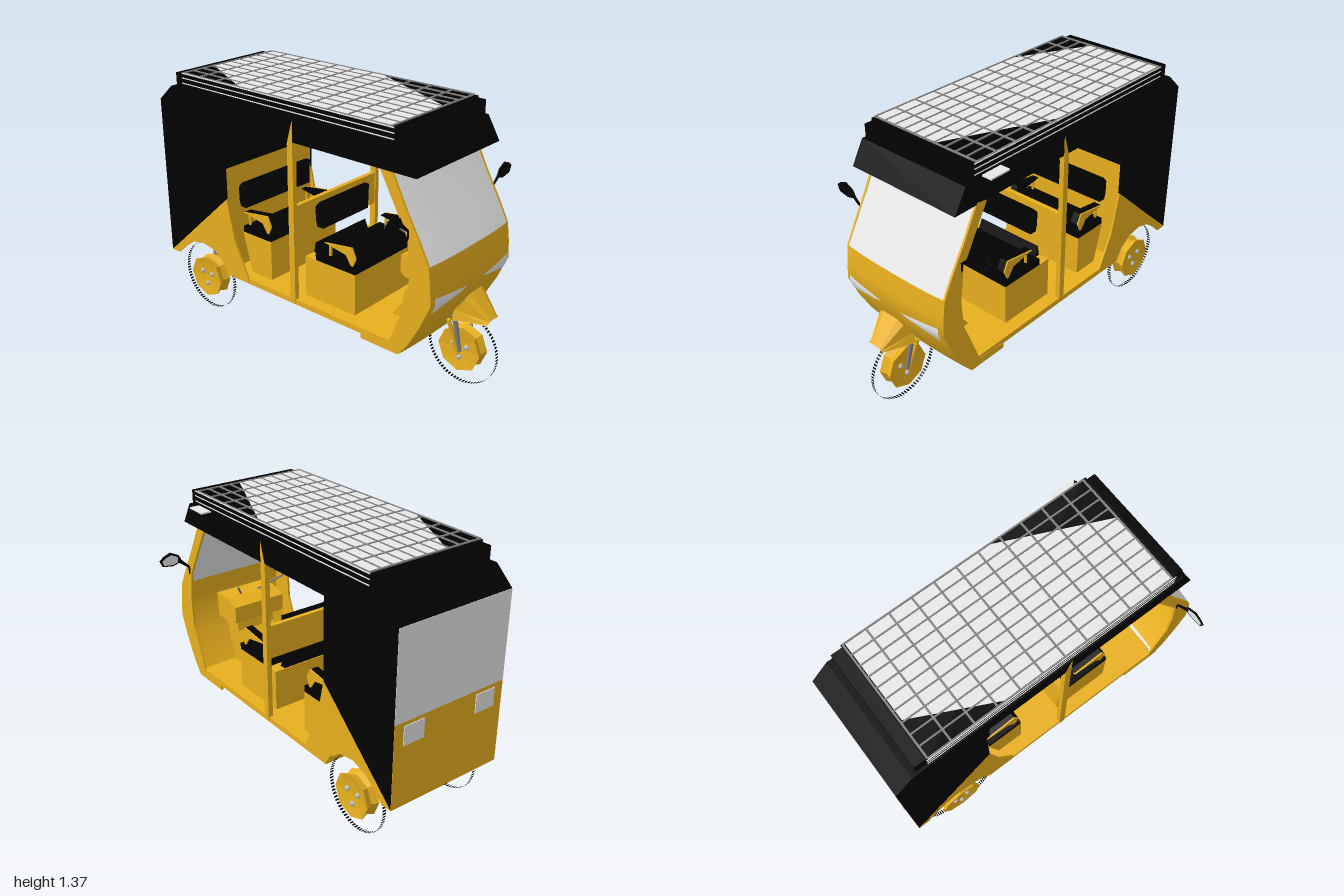
import * as THREE from 'three';
import { ParametricGeometry } from 'three/addons/geometries/ParametricGeometry.js';

const mat = (name, color) => new THREE.MeshStandardMaterial({ name, color, side: THREE.DoubleSide });

export function createModel() {
  const root = new THREE.Group();
  const yellow = mat('yellow paint', 0xf4b920);
  const black = mat('black vinyl', 0x020202);
  const pale = mat('pale glass and cells', 0xe8e8e8);
  const bright = mat('bright metal', 0xbcbcbc);
  const grey = mat('grey metal', 0x808080);

  const add = (name, geo, m, parent = root) => {
    const mesh = new THREE.Mesh(geo, m);
    mesh.name = name;
    parent.add(mesh);
    return mesh;
  };
  const flat = (geo) => {
    const g = geo.index ? geo.toNonIndexed() : geo;
    g.computeVertexNormals();
    return g;
  };
  const outline = (pts) => new THREE.Shape(pts.map(p => new THREE.Vector2(...p)));
  // Box given by its limits on each axis
  const box = (name, x0, x1, y0, y1, z0, z1, m) => {
    const mesh = add(name, new THREE.BoxGeometry(x1 - x0, y1 - y0, z1 - z0), m);
    mesh.position.set((x0 + x1) / 2, (y0 + y1) / 2, (z0 + z1) / 2);
  };
  // Side-profile outline [x, y] extruded from z0 to z1
  const plate = (name, pts, z0, z1, m) => {
    const geo = new THREE.ExtrudeGeometry(outline(pts), { depth: z1 - z0, bevelEnabled: false });
    add(name, geo, m).position.z = z0;
  };
  const sides = (name, pts, z0, z1, m) => {
    plate(name + 'Right', pts, z0, z1, m);
    plate(name + 'Left', pts, -z1, -z0, m);
  };
  const surf = (name, nu, nv, fn, m) => {
    const g = new ParametricGeometry((u, v, t) => t.set(...fn(u, v)), nu, nv);
    g.computeVertexNormals();
    return add(name, g, m);
  };
  const rod = (name, a, b, r0, r1, m, n = 8) => {
    const p = new THREE.Vector3(...a), q = new THREE.Vector3(...b);
    const mesh = add(name, new THREE.CylinderGeometry(r1, r0, p.distanceTo(q), n), m);
    mesh.position.copy(p).add(q).multiplyScalar(0.5);
    mesh.quaternion.setFromUnitVectors(new THREE.Vector3(0, 1, 0), q.sub(p).normalize());
  };

  // Canopy and rear body sides
  sides('canopySide', [[-.99, .29], [-.99, 1.19], [-.89, 1.28], [.66, 1.28], [.73, 1.16], [-.5, 1.16], [-.5, .73]], .325, .335, black);
  sides('rearFender', [[-.99, .285], [-.5, .73], [-.45, .5], [-.36, .31], [-.36, .28], [-.52, .28], [-.56, .35], [-.63, .395],
    [-.72, .41], [-.8, .39], [-.87, .34], [-.93, .285]], .325, .335, yellow);
  // Roof skin, one flat strip per pair of profile points
  const roof = [[-.99, 1.19], [-.89, 1.28], [.66, 1.28], [.73, 1.16]];
  for (let i = 0; i < 3; i++) {
    const [a, b] = [roof[i], roof[i + 1]];
    surf('roofPanel', 1, 1, (u, v) => [a[0] + (b[0] - a[0]) * v, a[1] + (b[1] - a[1]) * v, (u - .5) * .668], black);
  }
  // Rear end
  box('rearPanel', -.992, -.985, .285, .73, -.334, .334, yellow);
  box('rearWindow', -.992, -.985, .73, 1.19, -.334, .334, pale);
  for (const s of [-1, 1]) box('rearLamp', -.996, -.991, .61, .71, s * .22 - .06, s * .22 + .06, pale);
  box('partitionLower', -.512, -.502, .31, .9, -.325, .325, yellow);
  box('partitionUpper', -.512, -.502, .9, 1.27, -.325, .325, black);
  box('rearShelf', -.985, -.512, .42, .43, -.325, .325, black);

  // Floor
  box('floor', -.52, .62, .275, .305, -.333, .333, yellow);
  plate('underTray', [[-.3, .25], [.43, .262], [.64, .25], [.64, .28], [-.3, .28]], -.3, .3, yellow);

  // Slightly bowed front: windscreen above, cowl below
  const bow = z => .014 * Math.pow(Math.abs(z) / .333, 3);
  const along = (pts, t) => {
    const f = t * (pts.length - 1), i = Math.min(pts.length - 2, Math.floor(f)), k = f - i;
    return pts[i].map((c, j) => c + (pts[i + 1][j] - c) * k);
  };
  const front = (name, pts, half, m) => surf(name, 12, pts.length - 1, (u, v) => {
    const [x, y] = along(pts, v), z = (1 - 2 * u) * half;
    return [x - bow(z), y, z];
  }, m);
  front('windscreen', [[.6, 1.17], [.69, 1.0], [.765, .87], [.825, .76]], .325, pale);
  front('cowl', [[.825, .76], [.84, .66], [.845, .57], [.79, .44], [.725, .32], [.67, .25]], .334, yellow);
  sides('frontPillar', [[.53, 1.16], [.592, 1.17], [.68, 1.0], [.755, .87], [.812, .76], [.826, .66], [.831, .57], [.776, .44], [.711, .32],
    [.656, .25], [.43, .25], [.43, .28], [.6, .29], [.64, .4], [.7, .55], [.71, .7], [.69, .87]], .323, .335, yellow);
  // Wedge headlamps lying on the cowl
  const cowlX = y => y > .57 ? .845 - (y - .57) * .08 : .845 - (.57 - y) * .43;
  for (const s of [-1, 1]) surf('headlamp', 6, 4, (u, v) => {
    const z = .07 + u * .24, y = .58 + u * (v * .085 - .06);
    return [cowlX(y) - bow(z) + .007, y, s * z];
  }, pale);

  // Front mudguard snout, a tapering folded hood
  const hood = [[.81, .4, -.12], [.81, .45, -.105], [.85, .51, -.083], [.855, .53, -.05],
    [.855, .53, .05], [.85, .51, .083], [.81, .45, .105], [.81, .4, .12]];
  const snout = surf('frontMudguard', 7, 1, (u, v) => {
    const [x, y, z] = along(hood, u);
    return [x + (.965 - x) * v, y + (.395 + (y - .4) * .12 - y) * v, z * (1 - .58 * v)];
  }, yellow);
  snout.geometry = flat(snout.geometry);

  // Door posts
  sides('doorPost', [[-.04, .28], [-.04, 1.15], [-.005, 1.27], [-.005, .28]], .31, .337, yellow);
  box('crossPanel', -.035, -.01, .64, .82, -.32, .32, yellow);

  // Seats: rear bench and driver seat
  for (const s of [
    { name: 'rearSeat', x0: -.4, x1: -.25, cushion: -.455, taper: .06, back: -.49, half: .25 },
    { name: 'driverSeat', x0: 0, x1: .33, cushion: .07, taper: 0, back: 0, half: .18 }]) {
    plate(s.name + 'Base', [[s.x0, .3], [s.x1, .3], [s.x1, .53], [s.x0 - s.taper, .53]], -.26, .26, yellow);
    box(s.name + 'Cushion', s.cushion, s.x1, .53, .565, -.26, .26, black);
    const b = s.back;
    plate(s.name + 'Backrest', [[b + .01, .67], [b + .05, .67], [b + .055, .81], [b + .025, .81], [b, .78], [b, .71]], -s.half, s.half, black);
    // Armrests: black pad with a yellow outer face
    const ax = s.x1 - .21;
    const arm = [[ax, .64], [s.x1 - .03, .665], [s.x1 - .005, .61], [s.x1 - .03, .555], [s.x1 - .07, .615]];
    sides(s.name + 'ArmPad', arm, .2, .242, black);
    sides(s.name + 'ArmFace', arm, .242, .25, yellow);
    for (const k of [-1, 1]) rod(s.name + 'ArmPeg', [ax + .02, .56, k * .225], [ax + .02, .625, k * .225], .008, .008, yellow);
  }
  plate('seatHinge', [[.005, .53], [.04, .53], [.015, .59]], -.2, .2, black);

  // Dashboard and leg shield
  plate('dashboard', [[.53, .58], [.56, .56], [.71, .56], [.72, .7], [.62, .7], [.53, .67]], -.16, .16, yellow);
  plate('legShield', [[.44, .28], [.52, .39], [.53, .46], [.57, .5], [.58, .56], [.7, .56], [.66, .42], [.59, .29]], -.12, .12, yellow);
  // Handlebar and thin wing mirrors with a pale face looking back
  const mirrorShape = outline([[.325, .9], [.34, .86], [.345, .905], [.4, .945], [.44, .935], [.5, .945], [.515, .98], [.49, 1.0],
    [.45, 1.015], [.4, .99], [.385, .96], [.34, .915]]);
  const mirrorFace = outline([[.41, .955], [.44, .945], [.495, .952], [.505, .978], [.485, .992], [.45, 1.004], [.408, .983]]);
  for (const s of [-1, 1]) {
    rod('handlebar', [.64, .69, s * .05], [.51, .8, s * .15], .006, .006, grey);
    const geo = new THREE.ExtrudeGeometry(mirrorShape, { depth: .005, bevelEnabled: false });
    const mirror = add('wingMirror', geo, black);
    const reflector = add('mirrorFace', new THREE.ShapeGeometry(mirrorFace), pale);
    mirror.rotation.y = reflector.rotation.y = -s * Math.PI / 2;
    mirror.position.x = .7;
    reflector.position.x = .693;
  }

  // Solar array on the roof
  box('solarTray', -.8, .6, 1.285, 1.362, -.33, .33, black);
  box('trayEndRear', -.86, -.8, 1.285, 1.355, -.32, .32, black);
  box('trayEndFront', .6, .65, 1.285, 1.355, -.32, .32, black);
  for (const s of [-1, 1]) for (const y of [1.307, 1.335, 1.36]) box('trayTrim', -.8, .6, y, y + .005, s * .331 - .002, s * .331 + .002, pale);
  const cellShape = outline([[-.78, .32], [.03, .32], [.58, .07], [.58, -.32], [-.38, -.32], [-.78, -.12]]);
  const sheet = add('solarCells', new THREE.ShapeGeometry(cellShape), pale);
  sheet.rotation.x = -Math.PI / 2;
  sheet.position.y = 1.365;
  for (let i = 0; i <= 11; i++) {
    const x = -.79 + i * 1.37 / 11;
    box('cellLine', x - .005, x + .005, 1.362, 1.368, -.325, .325, grey);
  }
  for (let i = 0; i <= 10; i++) {
    const z = -.325 + i * .065;
    box('cellLine', -.79, .58, 1.362, 1.368, z - .004, z + .004, grey);
  }
  box('roofSideBox', .44, .56, 1.288, 1.296, -.39, -.335, pale);

  // Wheels: eight-sided hub, bolts and a ring of small tread pads
  const wheel = (name, x, z) => {
    const g = new THREE.Group();
    g.name = name;
    g.position.set(x, .197, z);
    root.add(g);
    const hub = new THREE.LatheGeometry([[0, -.022], [.07, -.028], [.12, -.036], [.105, 0], [.12, .036], [.07, .028], [0, .022]]
      .map(p => new THREE.Vector2(...p)), 8);
    add('hub', flat(hub), yellow, g).rotation.x = Math.PI / 2;
    for (const s of [-1, 1]) for (let i = 0; i < 3; i++) {
      const a = i * Math.PI * 2 / 3 + .5;
      add('wheelBolt', new THREE.SphereGeometry(.015, 8, 6), bright, g).position.set(Math.cos(a) * .045, Math.sin(a) * .045, s * .026);
    }
    for (let i = 0; i < 72; i++) {
      const a = i * Math.PI / 36;
      const pad = add('treadPad', new THREE.PlaneGeometry(.02, .009), black, g);
      pad.position.set(Math.cos(a) * .195, Math.sin(a) * .195, 0);
      pad.rotation.set(0, Math.PI / 2, a, 'ZYX');
    }
  };
  wheel('rearWheelRight', -.71, .293);
  wheel('rearWheelLeft', -.71, -.293);
  wheel('frontWheel', .805, 0);

  // Rear axle, gearbox, arms and springs; front fork
  const gearbox = add('gearbox', flat(new THREE.IcosahedronGeometry(.06, 0)), pale);
  gearbox.position.set(-.64, .195, 0);
  gearbox.scale.set(1.1, .9, 2);
  box('gearboxCover', -.6, -.573, .145, .25, -.045, .045, bright);
  for (const s of [-1, 1]) {
    rod('rearAxle', [-.66, .195, s * .05], [-.71, .2, s * .27], .02, .034, pale, 6);
    box('suspensionArm', -.81, -.61, .225, .248, s * .175 - .045, s * .175 + .045, yellow);
    rod('rearSpring', [-.71, .3, s * .25], [-.71, .42, s * .25], .014, .014, grey);
    rod('forkLeg', [.765, .37, s * .078], [.81, .18, s * .048], .011, .011, yellow);
    rod('forkSpring', [.79, .4, s * .068], [.82, .2, s * .05], .015, .01, grey);
  }
  return root;
}
